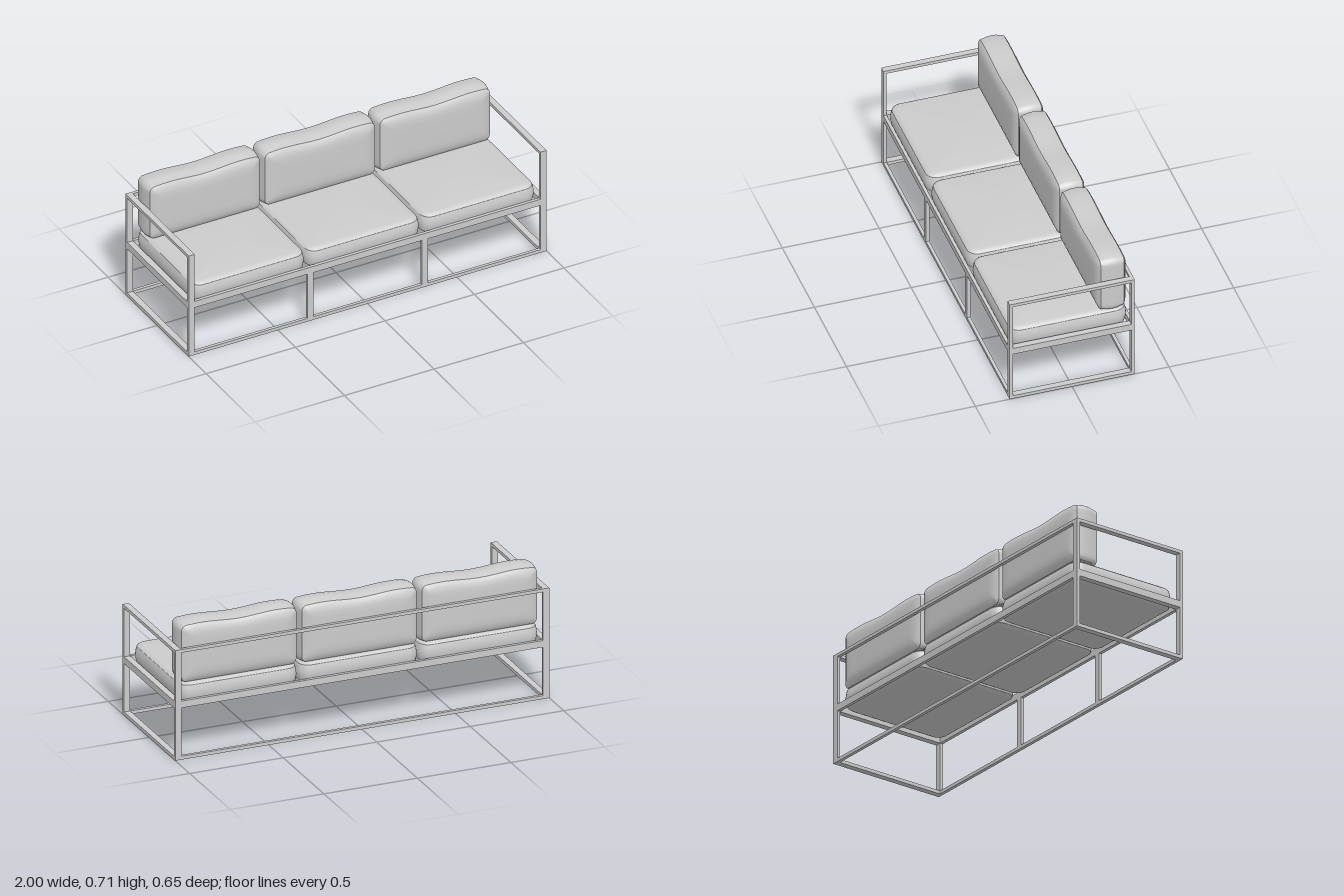
import * as THREE from 'three';
import { toCreasedNormals } from 'three/addons/utils/BufferGeometryUtils.js';

const material = new THREE.MeshStandardMaterial({ color: 0xcccccc });

// Rounded rectangle loop, counter-clockwise, with points along its straight sides
function roundedLoop(a, b, r) {
  const points = [], arc = 6, side = 12;
  const corner = (q, t) => {
    const sx = q === 0 || q === 3 ? 1 : -1, sy = q < 2 ? 1 : -1;
    const angle = (q + t) * Math.PI / 2;
    return new THREE.Vector2(sx * (a - r) + r * Math.cos(angle), sy * (b - r) + r * Math.sin(angle));
  };
  for (let q = 0; q < 4; q++) {
    for (let i = 0; i < arc; i++) points.push(corner(q, i / arc));
    const from = corner(q, 1), to = corner((q + 1) % 4, 0);
    for (let i = 0; i < side; i++) points.push(from.clone().lerp(to, i / side));
  }
  return points;
}

// Cushion lofted along z; the [inset, z] steps of one half are mirrored to the other
function cushionGeometry(a, b, r, half, warp = (x, y) => y) {
  const profile = [...half.map(([d, z]) => [d, -z]), [0, 0], ...half.slice().reverse()];
  const positions = [], index = [];
  const add = (x, y, z) => positions.push(x, warp(x, y), z);
  for (const [inset, z] of profile) {
    for (const p of roundedLoop(a - inset, b - inset, Math.max(r - inset, 0.012))) add(p.x, p.y, z);
  }
  const n = positions.length / 3 / profile.length;
  const last = (profile.length - 1) * n, back = profile.length * n, front = back + 1;
  add(0, 0, -half[0][1]);
  add(0, 0, half[0][1]);
  for (let i = 0; i < n; i++) {
    const j = (i + 1) % n;
    for (let k = 0; k < last; k += n) {
      index.push(k + i, k + j, k + n + j, k + i, k + n + j, k + n + i);
    }
    index.push(back, j, i, front, last + i, last + j);
  }
  const geometry = new THREE.BufferGeometry();
  geometry.setAttribute('position', new THREE.Float32BufferAttribute(positions, 3));
  geometry.setIndex(index);
  return toCreasedNormals(geometry, 0.5);
}

export function createModel() {
  const model = new THREE.Group();
  model.name = 'sofa';
  const frame = new THREE.Group();
  frame.name = 'frame';
  model.add(frame);

  const Z = 0.323, W = 0.033, T = 0.017; // half depth, bar width, bar thickness
  const bar = (name, x0, x1, y0, y1, z0, z1) => {
    const mesh = new THREE.Mesh(new THREE.BoxGeometry(x1 - x0, y1 - y0, z1 - z0), material);
    mesh.name = name;
    mesh.position.set((x0 + x1) / 2, (y0 + y1) / 2, (z0 + z1) / 2);
    frame.add(mesh);
  };

  // Corner posts, side rails and armrests
  for (const [side, x] of [['left', 1 - W], ['right', -1]]) {
    bar(side + 'FrontPost', x, x + W, 0, 0.585, Z - T, Z);
    bar(side + 'BackPost', x, x + W, 0, 0.585, -Z, -Z + T);
    bar(side + 'BottomRail', x, x + W, 0, 0.018, -Z + T, Z - T);
    bar(side + 'SeatRail', x, x + W, 0.275, 0.311, -Z + T, Z - T);
    bar(side + 'Armrest', x, x + W, 0.568, 0.585, -Z + T, Z - T);
  }

  // Long rails at front and back
  for (const [side, z] of [['front', Z - T], ['back', -Z]]) {
    bar(side + 'BottomRail', -1 + W, 1 - W, 0, 0.018, z, z + T);
    bar(side + 'SeatRail', -1 + W, 1 - W, 0.275, 0.311, z, z + T);
  }
  bar('backrestRail', -1 + W, 1 - W, 0.568, 0.585, -Z, -Z + T);

  // Middle posts, front only
  for (const x of [-0.32, 0.32]) {
    bar('middlePost', x - W / 2, x + W / 2, 0.018, 0.275, Z - T, Z);
  }

  // Seat cushion, sunk between the rails: seamed sides and bevelled edges
  const seat = cushionGeometry(0.319, 0.307, 0.062, [
    [0.04, 0.057], [0.028, 0.0555], [0.018, 0.051], [0.008, 0.043], [0.004, 0.03], [0.001, 0.014],
  ]);

  // Back cushion: bulging panels seamed to a puffed border, wavy on top and flat below
  const drape = (x, y) => (y > 0
    ? y - 0.006 * Math.cos(x * Math.PI / 0.2) * (y / 0.15) ** 2
    : Math.max(y * 1.07, -0.153));
  const backrest = cushionGeometry(0.317, 0.154, 0.037, [
    [0.085, 0.08], [0.055, 0.079], [0.034, 0.074], [0.02, 0.067], [0.01, 0.06],
    [0.007, 0.045], [0.002, 0.024],
  ], drape);

  for (const x of [-0.643, 0, 0.643]) {
    const seatCushion = new THREE.Mesh(seat, material);
    seatCushion.name = 'seatCushion';
    seatCushion.rotation.x = -Math.PI / 2;
    seatCushion.position.set(x, 0.334, 0);
    const backCushion = new THREE.Mesh(backrest, material);
    backCushion.name = 'backCushion';
    backCushion.position.set(x, 0.546, -0.225);
    model.add(seatCushion, backCushion);
  }
  return model;
}
